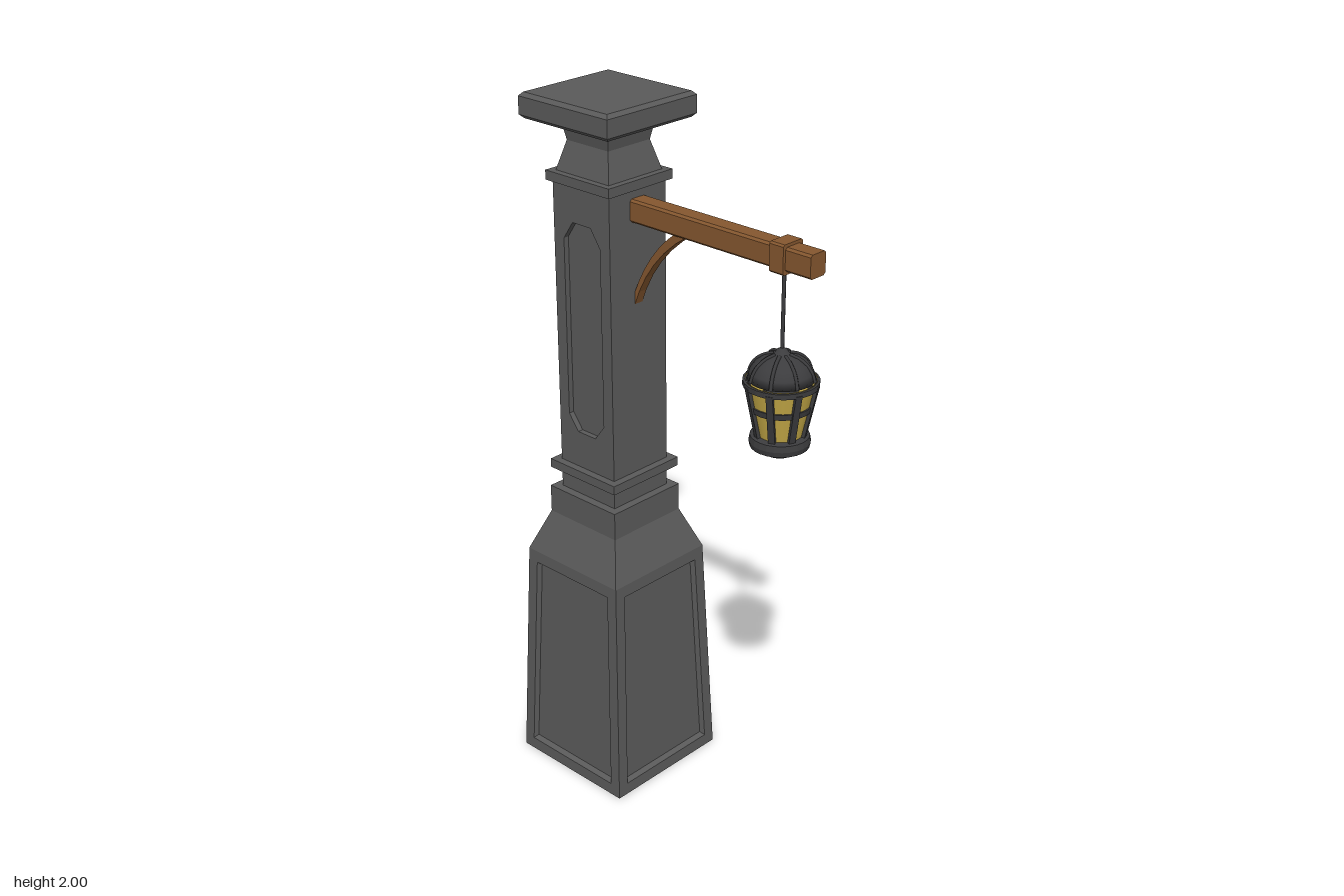
import * as THREE from 'three';

const mat = (color, extra = {}) => new THREE.MeshStandardMaterial({ color, ...extra });
const stone = mat(0x5a5a5a, { flatShading: true });
const wood = mat(0x85572f, { flatShading: true });
const iron = mat(0x3c3c3e);
const ironFlat = mat(0x3c3c3e, { flatShading: true });
const glassMat = mat(0xc8ac48, { side: THREE.DoubleSide });

function add(parent, name, geometry, material, x = 0, y = 0, z = 0) {
  const mesh = new THREE.Mesh(geometry, material);
  mesh.name = name;
  mesh.position.set(x, y, z);
  parent.add(mesh);
  return mesh;
}

const vec2 = (pairs) => pairs.map(([a, b]) => new THREE.Vector2(a, b));

// Square solid from [half width, height] pairs, bottom to top
function squareLathe(profile) {
  return new THREE.LatheGeometry(vec2(profile.map(([h, y]) => [h * Math.SQRT2, y])), 4, Math.PI / 4);
}

// Tapered wall facing +z with a sunken panel, made of nested four-corner loops
function panelWall(halfBottom, halfTop, height, panelBottom, panelTop, border, depth) {
  const half = (y) => halfBottom + (halfTop - halfBottom) * y / height;
  const loop = (y0, y1, margin, sink) => [[-1, y0], [1, y0], [1, y1], [-1, y1]]
    .map(([s, y]) => [s * (half(y) - margin), y, half(y) - sink]);
  const loops = [
    loop(0, height, 0, 0),
    loop(panelBottom, panelTop, border, 0),
    loop(panelBottom + 0.008, panelTop - 0.008, border + 0.006, depth),
  ];
  const position = [];
  const quad = (a, b, c, d) => position.push(...a, ...b, ...c, ...a, ...c, ...d);
  for (let k = 0; k < 2; k++) {
    for (let i = 0; i < 4; i++) {
      const j = (i + 1) % 4;
      quad(loops[k][i], loops[k][j], loops[k + 1][j], loops[k + 1][i]);
    }
  }
  quad(...loops[2]);
  const g = new THREE.BufferGeometry();
  g.setAttribute('position', new THREE.Float32BufferAttribute(position, 3));
  g.computeVertexNormals();
  return g;
}

// Bar along z with chamfered long edges
function chamferedBar(w, h, length, c) {
  const x = w / 2, y = h / 2;
  const shape = new THREE.Shape(vec2([
    [-x + c, -y], [x - c, -y], [x, -y + c], [x, y - c],
    [x - c, y], [-x + c, y], [-x, y - c], [-x, -y + c],
  ]));
  return new THREE.ExtrudeGeometry(shape, { depth: length, bevelEnabled: false });
}

function buildPillar() {
  const pillar = new THREE.Group();
  pillar.name = 'pillar';
  pillar.position.z = -0.25;

  // Plinth with a sunken panel on each side
  add(pillar, 'plinthBottom', squareLathe([[0, 0], [0.2, 0]]), stone);
  for (let i = 0; i < 4; i++) {
    add(pillar, 'plinthWall', panelWall(0.2, 0.175, 0.68, 0.035, 0.645, 0.034, 0.014), stone)
      .rotation.y = i * Math.PI / 2;
  }
  add(pillar, 'plinthShoulder', squareLathe([[0.175, 0.68], [0.127, 0.8], [0.127, 0.88], [0, 0.88]]), stone);

  // Shaft: core plus a cut-out plate on the left and right
  const r = 0.103, t = 0.016, y0 = 0.87, y1 = 1.79;
  add(pillar, 'shaftCore', new THREE.BoxGeometry(2 * (r - t), y1 - y0, 2 * r), stone, 0, (y0 + y1) / 2, 0);
  const plate = new THREE.Shape(vec2([[-r, y0], [r, y0], [r, y1], [-r, y1]]));
  plate.holes.push(new THREE.Path(vec2([
    [-0.033, 1.07], [-0.067, 1.115], [-0.067, 1.62], [-0.033, 1.67],
    [0.033, 1.67], [0.067, 1.62], [0.067, 1.115], [0.033, 1.07],
  ])));
  for (const side of [1, -1]) {
    const g = new THREE.ExtrudeGeometry(plate, { depth: t, bevelEnabled: false });
    g.translate(0, 0, r - t);
    add(pillar, 'shaftPanelFrame', g, stone).rotation.y = side * Math.PI / 2;
  }

  // Collars, neck and cap
  add(pillar, 'lowerCollar', new THREE.BoxGeometry(0.25, 0.026, 0.25), stone, 0, 0.951, 0);
  add(pillar, 'upperCollar', new THREE.BoxGeometry(0.232, 0.026, 0.232), stone, 0, 1.783, 0);
  add(pillar, 'neck', squareLathe([[0.097, 1.795], [0.075, 1.875], [0.087, 1.936]]), stone);
  add(pillar, 'cap', squareLathe([
    [0, 1.932], [0.15, 1.932], [0.16, 1.942], [0.16, 1.99], [0.15, 2], [0, 2],
  ]), stone);
  return pillar;
}

function buildArm() {
  const arm = new THREE.Group();
  arm.name = 'arm';
  add(arm, 'beam', chamferedBar(0.056, 0.062, 0.62, 0.006), wood, 0, 1.714, -0.17);
  add(arm, 'beamBand', chamferedBar(0.072, 0.078, 0.044, 0.005), wood, 0, 1.714, 0.328);

  // Curved brace, drawn as [z, y] and extruded across x
  const brace = new THREE.Shape();
  brace.moveTo(0.045, 1.69);
  brace.quadraticCurveTo(-0.1, 1.6, -0.152, 1.443);
  brace.lineTo(-0.152, 1.478);
  brace.quadraticCurveTo(-0.1, 1.615, 0.005, 1.69);
  const g = new THREE.ExtrudeGeometry(brace, { depth: 0.028, bevelEnabled: false, curveSegments: 6 });
  g.translate(0, 0, -0.014);
  g.rotateY(-Math.PI / 2);
  add(arm, 'brace', g, wood);
  return arm;
}

function buildLantern() {
  const lantern = new THREE.Group();
  lantern.name = 'lantern';
  lantern.position.z = 0.347;
  const lathe = (pairs) => new THREE.LatheGeometry(vec2(pairs), 24);

  add(lantern, 'hangingRod', new THREE.CylinderGeometry(0.005, 0.005, 0.24, 8), iron, 0, 1.58, 0);
  add(lantern, 'glass', lathe([[0.058, 1.235], [0.091, 1.391]]), glassMat);

  // Domed roof with finial
  const dome = [[0.086, 1.392], [0.08, 1.413], [0.067, 1.433], [0.045, 1.449], [0.02, 1.457]];
  add(lantern, 'roof', lathe([[0, 1.392], ...dome, [0.013, 1.468], [0, 1.476]]), iron);

  // Rims, middle band and pan
  const ring = (name, r, y, h, slope = 0) => add(lantern, name, lathe([
    [r - 0.01, y], [r, y], [r + slope, y + h], [r - 0.01 + slope, y + h], [r - 0.01, y],
  ]), ironFlat);
  ring('upperRim', 0.097, 1.375, 0.014);
  ring('middleBand', 0.079, 1.311, 0.016, 0.003);
  add(lantern, 'pan', lathe([
    [0, 1.188], [0.04, 1.188], [0.062, 1.203], [0.076, 1.208],
    [0.079, 1.222], [0.076, 1.238], [0.062, 1.242], [0, 1.242],
  ]), ironFlat);

  // Eight upright bars, each carried over the roof as a rib
  const ribCurve = new THREE.CatmullRomCurve3(dome.map(([r, y]) => new THREE.Vector3(0, y, r)));
  const ribGeo = new THREE.TubeGeometry(ribCurve, 10, 0.005, 5);
  const barGeo = new THREE.BoxGeometry(0.018, 0.15, 0.01);
  barGeo.rotateX(Math.atan2(0.031, 0.145));
  barGeo.translate(0, 1.308, 0.077);
  for (let i = 0; i < 8; i++) {
    const angle = (i + 0.5) * Math.PI / 4;
    add(lantern, 'bar', barGeo, ironFlat).rotation.y = angle;
    add(lantern, 'roofRib', ribGeo, iron).rotation.y = angle;
  }
  return lantern;
}

export function createModel() {
  const model = new THREE.Group();
  model.name = 'lampPost';
  model.add(buildPillar(), buildArm(), buildLantern());
  return model;
}
